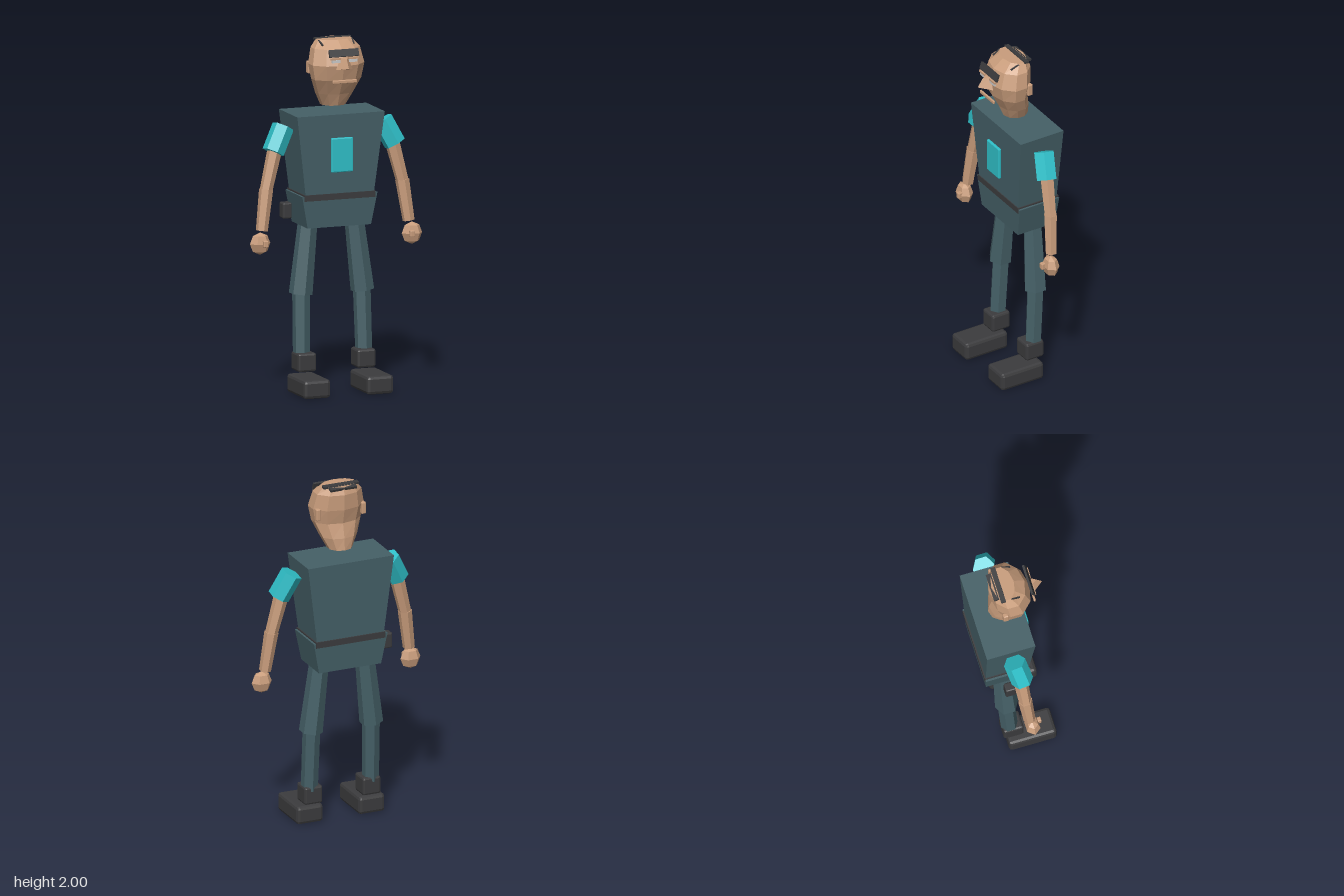
import * as THREE from 'three';
import { RoundedBoxGeometry } from 'three/addons/geometries/RoundedBoxGeometry.js';

const paint = (color) => new THREE.MeshStandardMaterial({ color, flatShading: true });

// Closed skin through rings of [x, y, z] points, listed from bottom to top.
function loft(rings) {
  const n = rings[0].length, pos = [];
  const tri = (a, b, c) => pos.push(...a, ...b, ...c);
  for (let i = 0; i < rings.length - 1; i++) {
    for (let j = 0; j < n; j++) {
      const k = (j + 1) % n, a = rings[i], b = rings[i + 1];
      tri(a[j], a[k], b[k]);
      tri(a[j], b[k], b[j]);
    }
  }
  const low = rings[0], high = rings[rings.length - 1];
  for (let j = 1; j < n - 1; j++) {
    tri(low[0], low[j + 1], low[j]);
    tri(high[0], high[j], high[j + 1]);
  }
  const g = new THREE.BufferGeometry();
  g.setAttribute('position', new THREE.Float32BufferAttribute(pos, 3));
  g.computeVertexNormals();
  return g;
}

// Rectangular ring: height, half width, back z, front z.
const rect = ([y, w, back, front]) => [[-w, y, front], [w, y, front], [w, y, back], [-w, y, back]];

// Ten-sided oval ring with a corner at the front.
const oval = ([y, w, back, front]) => Array.from({ length: 10 }, (_, j) => {
  const t = (j / 10) * Math.PI * 2;
  return [Math.sin(t) * w * 1.04, y, (front + back) / 2 + Math.cos(t) * (front - back) / 2];
});

export function createModel() {
  const model = new THREE.Group();
  const skin = paint(0xc99d7c), cloth = paint(0x456067), cyan = paint(0x2fbfc8);
  const dark = paint(0x3b3b3d), white = paint(0xd8d8d8);

  const add = (name, geometry, material, x = 0, y = 0, z = 0, tilt = 0) => {
    const mesh = new THREE.Mesh(geometry, material);
    mesh.name = name;
    mesh.position.set(x, y, z);
    mesh.rotation.x = tilt;
    model.add(mesh);
    return mesh;
  };
  const box = (w, h, d) => new THREE.BoxGeometry(w, h, d);
  const bevel = (w, h, d, r) => new RoundedBoxGeometry(w, h, d, 1, r);

  // Six-sided limb running from point a down to point b.
  const limb = (name, material, a, b, ra, rb) => {
    const top = new THREE.Vector3(...a), end = new THREE.Vector3(...b);
    const axis = top.clone().sub(end);
    const mesh = add(name, new THREE.CylinderGeometry(ra, rb, axis.length(), 6), material);
    mesh.position.copy(top).add(end).multiplyScalar(0.5);
    mesh.quaternion.setFromUnitVectors(new THREE.Vector3(0, 1, 0), axis.normalize());
  };

  // Body
  add('torso', loft([[1.125, 0.205, -0.195, 0.058], [1.58, 0.262, -0.205, 0.077]].map(rect)), cloth);
  add('pelvis', loft([[0.94, 0.19, -0.19, 0.05], [1.122, 0.225, -0.2, 0.06]].map(rect)), cloth);
  add('belt', box(0.425, 0.035, 0.266), dark, 0, 1.113, -0.07);
  add('chestPanel', bevel(0.13, 0.195, 0.018, 0.006), cyan, 0, 1.353, 0.089);
  add('beltPouch', bevel(0.055, 0.09, 0.06, 0.008), dark, -0.272, 1.03, -0.075);

  // Head
  add('head', loft([
    [1.62, 0.07, -0.12, 0.025],
    [1.69, 0.105, -0.115, 0.055],
    [1.775, 0.14, -0.095, 0.1],
    [1.86, 0.156, -0.115, 0.122],
    [1.95, 0.137, -0.118, 0.092],
    [1.995, 0.1, -0.1, 0.03],
  ].map(oval)), skin);
  add('brow', box(0.176, 0.042, 0.013), dark, 0, 1.935, 0.118, -0.35);
  add('mouth', bevel(0.145, 0.02, 0.012, 0.004), skin, 0, 1.775, 0.132);
  add('nose', loft([
    [[-0.05, 1.842, 0.125], [0, 1.858, 0.196], [0.05, 1.842, 0.125]],
    [[-0.022, 1.91, 0.125], [0, 1.905, 0.165], [0.022, 1.91, 0.125]],
  ]), skin);
  add('hairFront', box(0.215, 0.012, 0.028), dark, 0, 1.994, -0.06, -0.15);
  add('hairBack', box(0.16, 0.014, 0.03), dark, 0, 1.986, -0.092, -0.3);

  for (const s of [1, -1]) {
    const side = s > 0 ? 'left' : 'right';
    const at = (x, y, z) => [s * x, y, z];

    // Face details
    add(side + 'Eye', box(0.05, 0.016, 0.012), white, s * 0.05, 1.892, 0.128);
    add(side + 'Eyelid', box(0.06, 0.01, 0.014), skin, s * 0.053, 1.906, 0.13);
    add(side + 'Ear', bevel(0.028, 0.07, 0.032, 0.006), skin, s * 0.138, 1.835, -0.058);
    add(side + 'Temple', box(0.008, 0.025, 0.055), dark, s * 0.096, 1.972, 0.008, 0.4).rotation.y = s * -0.12;

    // Arm
    limb(side + 'Sleeve', cyan, at(0.295, 1.51, -0.055), at(0.365, 1.372, -0.03), 0.063, 0.063);
    limb(side + 'UpperArm', skin, at(0.34, 1.43, -0.042), at(0.408, 1.16, -0.028), 0.043, 0.036);
    limb(side + 'Forearm', skin, at(0.408, 1.165, -0.028), at(0.44, 0.935, -0.012), 0.04, 0.034);
    add(side + 'Hand', new THREE.SphereGeometry(0.06, 6, 4), skin, s * 0.455, 0.865, 0)
      .scale.set(1.02, 1.06, 0.75);
    add(side + 'Thumb', bevel(0.028, 0.038, 0.035, 0.005), skin, s * 0.439, 0.868, 0.038);

    // Leg and boot
    limb(side + 'Thigh', cloth, at(0.138, 0.965, -0.078), at(0.185, 0.55, -0.068), 0.055, 0.067);
    limb(side + 'Shin', cloth, at(0.182, 0.56, -0.07), at(0.187, 0.2, -0.052), 0.05, 0.048);
    add(side + 'Ankle', bevel(0.11, 0.105, 0.115, 0.012), dark, s * 0.178, 0.173, -0.038);
    add(side + 'Foot', bevel(0.16, 0.105, 0.277, 0.018), dark, s * 0.189, 0.0525, 0.064);
  }
  return model;
}
